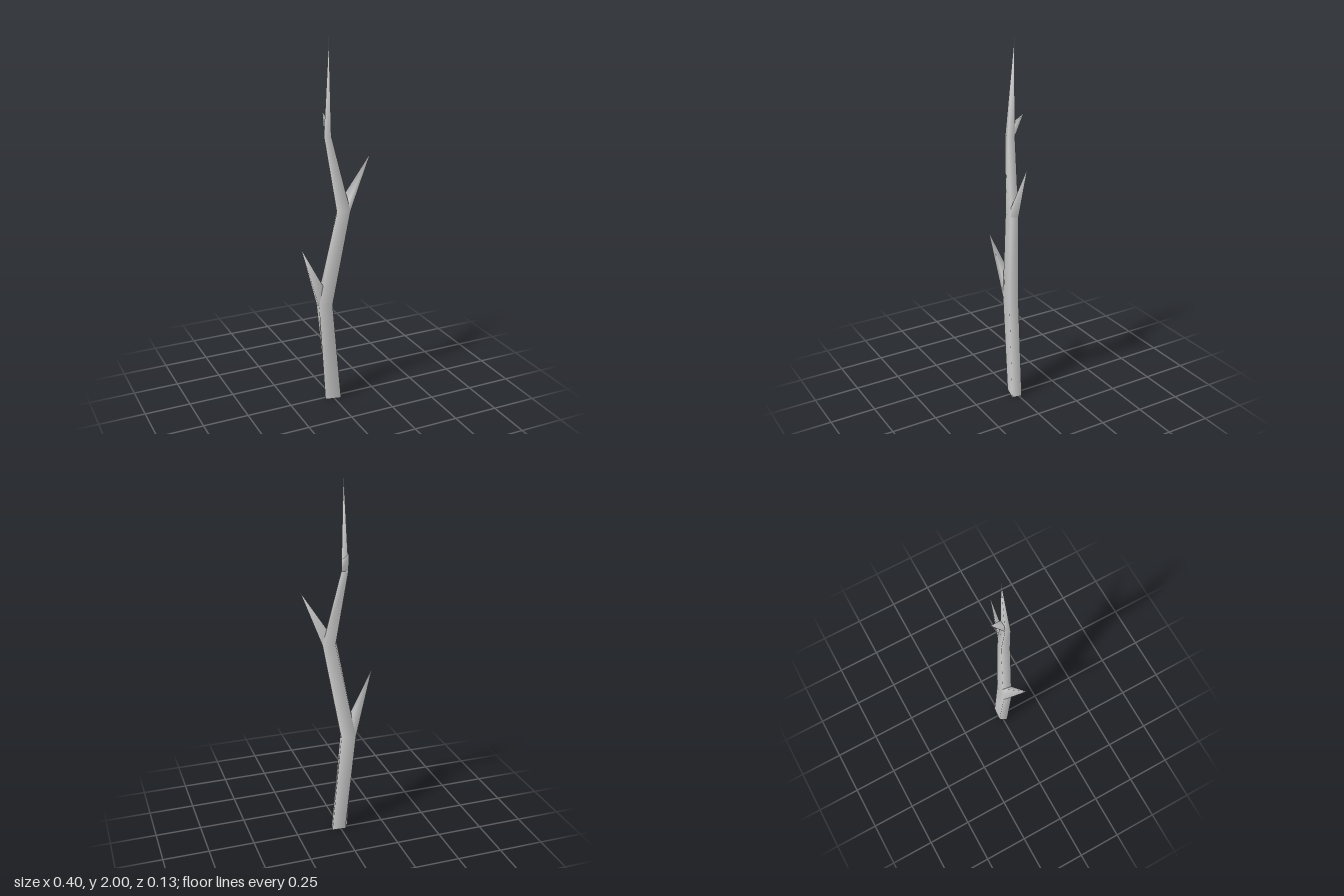
import * as THREE from 'three';

const material = new THREE.MeshStandardMaterial({ color: 0xcccccc });

// Rings of four corners: front left, front right, back right, back left (as seen from the front)
const ring = (y, corners) => corners.map(([x, z]) => new THREE.Vector3(x, y, z));
const rings = [
  ring(0, [[-0.05, 0.02], [0.037, 0.04], [0.05, -0.014], [-0.025, -0.02]]),
  ring(0.57, [[-0.088, 0.025], [-0.01, 0.03], [0, -0.022], [-0.083, -0.025]]),
  ring(1.1, [[0, 0.058], [0.075, 0.067], [0.087, 0.03], [0.02, 0.015]]),
  ring(1.5, [[-0.057, 0.025], [-0.018, 0.03], [-0.005, -0.003], [-0.045, 0]]),
];

// Joins stacked four-sided rings and closes them in a point
function spike(name, levels, tip) {
  const points = [...levels.flat(), tip];
  const index = [];
  const top = points.length - 1;
  levels.forEach((_, level) => {
    for (let i = 0; i < 4; i++) {
      const a = level * 4 + i;
      const b = level * 4 + ((i + 1) % 4);
      if (level === levels.length - 1) index.push(a, b, top);
      else index.push(a, b, b + 4, a, b + 4, a + 4);
    }
  });
  const geometry = new THREE.BufferGeometry().setFromPoints(points);
  geometry.setIndex(index);
  geometry.computeVertexNormals();
  const mesh = new THREE.Mesh(geometry, material);
  mesh.name = name;
  return mesh;
}

// Grows a twig out of one trunk side, between two edges just above a ring
function twig(name, level, i, j, riseI, riseJ, tip) {
  const low = rings[level];
  const high = rings[level + 1] || Array(4).fill(trunkTip);
  const base = [
    low[i], low[j],
    low[j].clone().lerp(high[j], riseJ),
    low[i].clone().lerp(high[i], riseI),
  ];
  return spike(name, [base], tip);
}

const trunkTip = new THREE.Vector3(-0.015, 2, -0.005);

export function createModel() {
  const group = new THREE.Group();
  group.name = 'branch';
  group.add(spike('stem', rings, trunkTip));

  // Flat cut end, facing down
  const cut = new THREE.BufferGeometry().setFromPoints(rings[0]);
  cut.setIndex([0, 2, 1, 0, 3, 2]);
  cut.computeVertexNormals();
  const cutEnd = new THREE.Mesh(cut, material);
  cutEnd.name = 'cutEnd';
  group.add(cutEnd);

  // Side twigs
  group.add(
    twig('lowerTwig', 1, 3, 0, 0.23, 0.23, new THREE.Vector3(-0.2, 0.93, 0.05)),
    twig('middleTwig', 2, 1, 2, 0.12, 0.23, new THREE.Vector3(0.2, 1.4, 0.047)),
    twig('upperTwig', 3, 2, 3, 0.12, 0.12, new THREE.Vector3(-0.025, 1.61, -0.067)),
  );
  return group;
}
